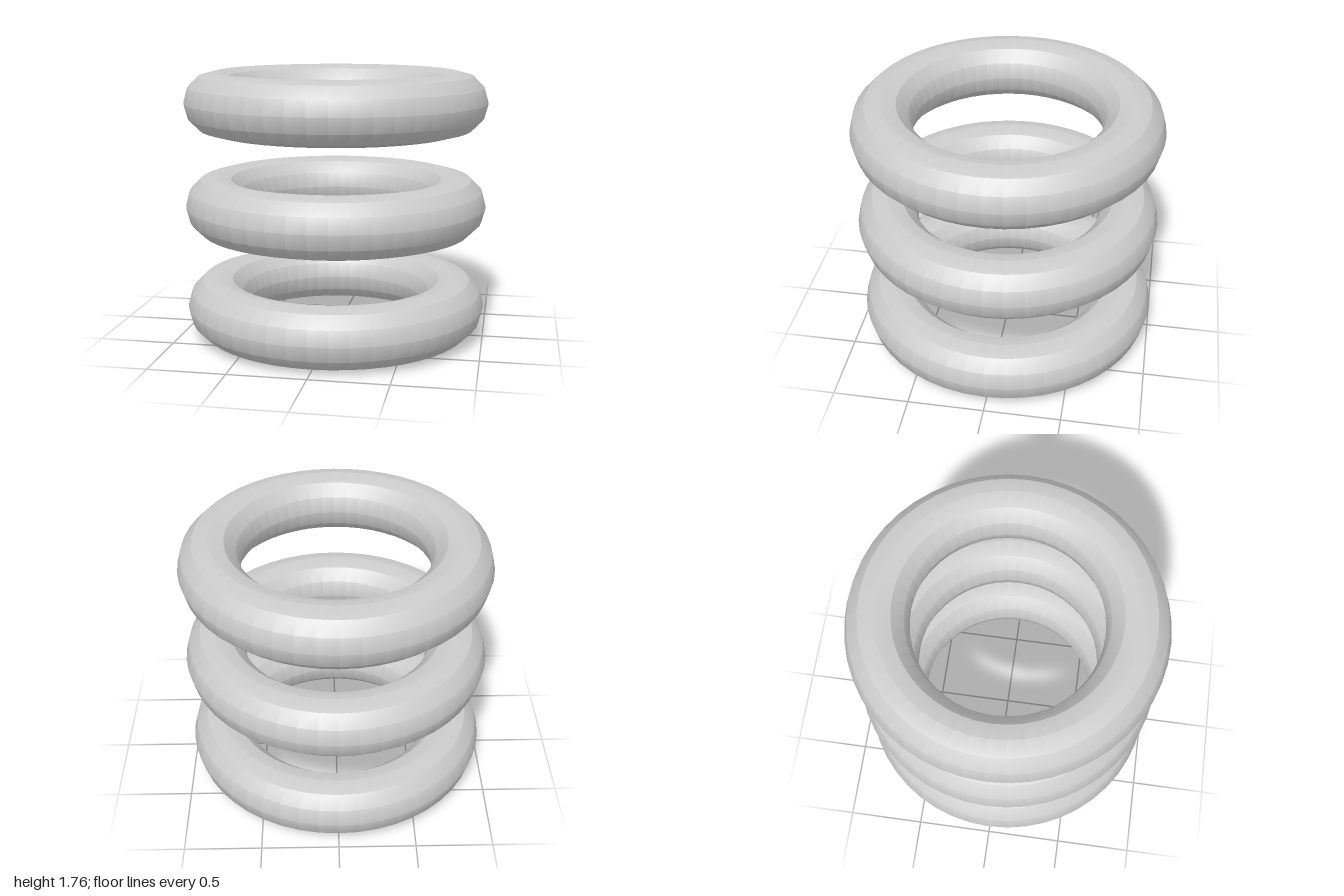
import * as THREE from 'three';
import { toCreasedNormals } from 'three/addons/utils/BufferGeometryUtils.js';

const RING_RADIUS = 0.8;
const TUBE_RADIUS = 0.2;
const SPACING = 0.682;

export function createModel() {
  const group = new THREE.Group();
  group.name = 'stackedRings';
  const material = new THREE.MeshStandardMaterial({ color: 0xcccccc });

  // Twelve-sided tube, creased along the top and bottom bands
  const torus = new THREE.TorusGeometry(RING_RADIUS, TUBE_RADIUS, 12, 48);
  torus.rotateX(-Math.PI / 2);
  const geometry = toCreasedNormals(torus, Math.PI / 6);

  // Three identical rings, evenly spaced up the y axis
  ['lowerRing', 'middleRing', 'upperRing'].forEach((name, i) => {
    const ring = new THREE.Mesh(geometry, material);
    ring.name = name;
    ring.position.y = TUBE_RADIUS + i * SPACING;
    group.add(ring);
  });
  return group;
}
